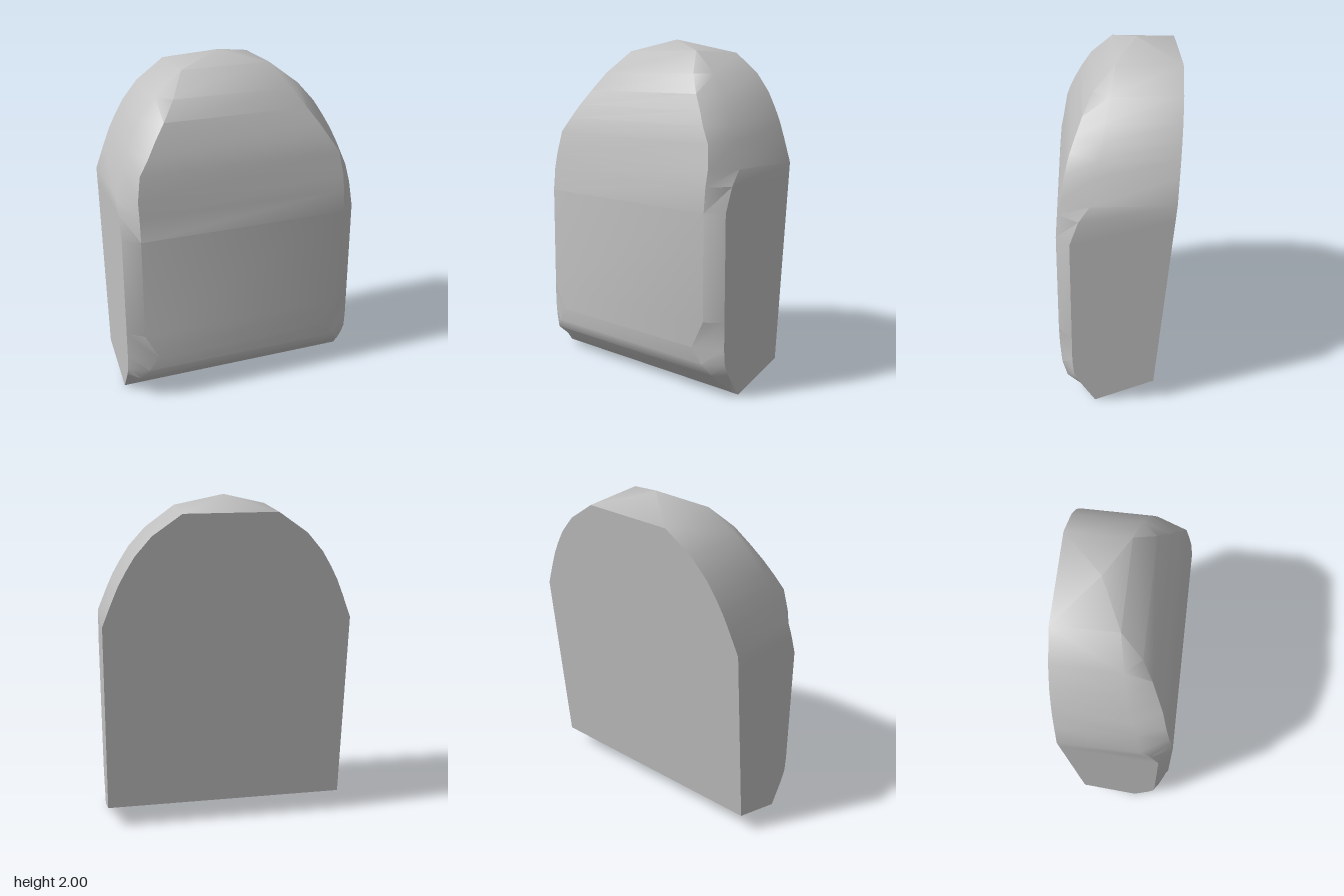
import * as THREE from 'three';
import { toCreasedNormals } from 'three/addons/utils/BufferGeometryUtils.js';

// Cross-sections going up: [height, half width, side edge z, front half width, front z]
const SECTIONS = [
  [0, 0.725, 0.137, 0.66, 0.137],
  [0.14, 0.725, 0.23, 0.66, 0.297],
  [0.2, 0.725, 0.258, 0.61, 0.328],
  [0.29, 0.725, 0.266, 0.55, 0.341],
  [0.45, 0.725, 0.266, 0.632, 0.341],
  [1.06, 0.725, 0.266, 0.632, 0.341],
  [1.2, 0.725, 0.215, 0.632, 0.328],
  [1.29, 0.725, 0.155, 0.632, 0.309],
  [1.43, 0.67, 0.13, 0.61, 0.285],
  [1.52, 0.632, 0.105, 0.55, 0.258],
  [1.6, 0.59, 0.08, 0.5, 0.225],
  [1.69, 0.535, 0.06, 0.435, 0.185],
  [1.8, 0.44, 0.035, 0.36, 0.125],
  [1.93, 0.27, 0, 0.27, 0],
];
const APEX = [0, 2, -0.13];
const backZ = (y) => -0.207 - 0.0915 * (y - 0.13); // the back leans away

// Six-sided ring, counter-clockwise from above; the back stays within its sloped ends
function ring([y, w, sideZ, frontW, frontZ]) {
  const by = THREE.MathUtils.clamp(y, 0.13, 1.92);
  const bz = backZ(by);
  return [
    [-frontW, y, frontZ], [frontW, y, frontZ],
    [w, y, sideZ], [w, by, bz],
    [-w, by, bz], [-w, y, sideZ],
  ];
}

function slabGeometry() {
  const positions = [];
  const same = (p, q) => p.every((v, i) => Math.abs(v - q[i]) < 1e-6);
  const tri = (a, b, c) => {
    if (!same(a, b) && !same(b, c) && !same(c, a)) positions.push(...a, ...b, ...c);
  };
  const rings = SECTIONS.map(ring);

  // Walls between neighbouring rings
  for (let i = 0; i < rings.length - 1; i++) {
    for (let k = 0; k < 6; k++) {
      const n = (k + 1) % 6;
      const a = rings[i][k], b = rings[i][n], c = rings[i + 1][n], d = rings[i + 1][k];
      if (k < 3) { tri(a, b, c); tri(a, c, d); }
      else { tri(a, b, d); tri(b, c, d); }
    }
  }

  // Sloped underside and peaked top
  const bottom = rings[0], top = rings[rings.length - 1];
  for (let k = 1; k < 5; k++) tri(bottom[3], bottom[(3 + k + 1) % 6], bottom[(3 + k) % 6]);
  for (let k = 0; k < 6; k++) tri(top[k], top[(k + 1) % 6], APEX);

  const geometry = new THREE.BufferGeometry();
  geometry.setAttribute('position', new THREE.Float32BufferAttribute(positions, 3));
  return toCreasedNormals(geometry, 0.72);
}

export function createModel() {
  const group = new THREE.Group();
  group.name = 'archedSlab';

  const stone = new THREE.MeshStandardMaterial({ color: 0xc0c0c0 });
  stone.name = 'light grey';

  // Slab turned slightly about the vertical
  const slab = new THREE.Mesh(slabGeometry(), stone);
  slab.name = 'slab';
  slab.rotation.y = -0.087;
  group.add(slab);
  return group;
}
